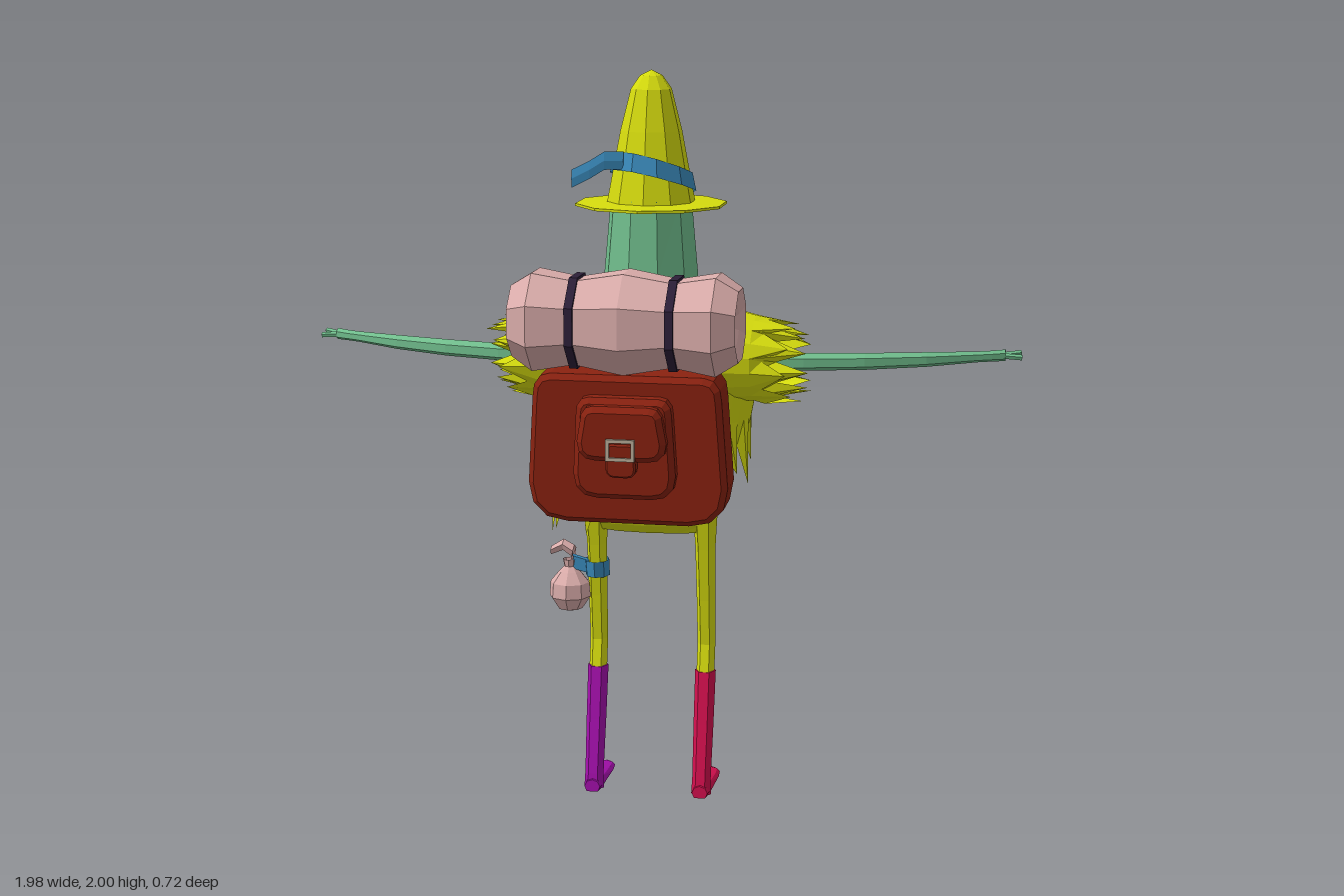
import * as THREE from 'three';

const mat = (name, color) => {
  const m = new THREE.MeshStandardMaterial({ color, flatShading: true, side: THREE.DoubleSide });
  m.name = name;
  return m;
};
const CZ = -0.13; // body axis in z

export function createModel() {
  const root = new THREE.Group();
  root.name = 'traveller';
  const yellow = mat('yellow cloth', 0xd6dc0e), green = mat('green skin', 0x70bd8c);
  const blue = mat('blue ribbon', 0x3a8abb), red = mat('rust leather', 0x8a2210);
  const pink = mat('pink canvas', 0xdbadab), dark = mat('dark strap', 0x2c1f38);
  const purple = mat('purple boot', 0xa30fab), crimson = mat('crimson boot', 0xd20f4d);
  const olive = mat('olive strap', 0xa39a1c), metal = mat('buckle metal', 0xb8ac98);

  let seed = 7;
  const rand = () => (seed = (seed * 16807) % 2147483647) / 2147483647;

  const add = (name, geo, material, x = 0, y = 0, z = 0) => {
    const m = new THREE.Mesh(geo, material);
    m.name = name;
    m.position.set(x, y, z);
    root.add(m);
    return m;
  };

  // Skin a list of closed rings; capped ends get a centre fan
  const loft = (rings, capped = true) => {
    const n = rings[0].length, pts = rings.flat().map((p) => p.clone()), idx = [];
    for (let r = 0; r < rings.length - 1; r++)
      for (let i = 0; i < n; i++) {
        const a = r * n + i, b = r * n + (i + 1) % n;
        idx.push(a, a + n, b, b, a + n, b + n);
      }
    if (capped) [0, rings.length - 1].forEach((r, end) => {
      const c = rings[r].reduce((s, p) => s.add(p), new THREE.Vector3()).divideScalar(n);
      pts.push(c);
      for (let i = 0; i < n; i++) {
        const a = r * n + i, b = r * n + (i + 1) % n;
        idx.push(pts.length - 1, end ? b : a, end ? a : b);
      }
    });
    // Turn faces outwards
    const mid = pts.reduce((s, p) => s.add(p), new THREE.Vector3()).divideScalar(pts.length);
    let vol = 0;
    for (let k = 0; k < idx.length; k += 3) {
      const [a, b, c] = [0, 1, 2].map((o) => pts[idx[k + o]].clone().sub(mid));
      vol += a.dot(b.cross(c));
    }
    if (vol < 0) idx.reverse();
    const g = new THREE.BufferGeometry().setFromPoints(pts);
    g.setIndex(idx);
    g.computeVertexNormals();
    return g;
  };
  const ring = (n, fn) => Array.from({ length: n }, (_, i) => {
    const t = (i / n) * Math.PI * 2;
    return new THREE.Vector3(...fn(Math.cos(t), Math.sin(t), i));
  });
  // Horizontal ring [y, rx, rz, cx, cz] and upright ring across x [x, ry, rz, cy, cz]
  const flat = (n, [y, rx, rz, cx = 0, cz = CZ]) => ring(n, (c, s) => [cx + rx * c, y, cz + rz * s]);
  const upright = (n, [x, ry, rz, cy, cz]) => ring(n, (c, s) => [x, cy + ry * c, cz + rz * s]);
  const lathe = (pts, n) => new THREE.LatheGeometry(pts.map((p) => new THREE.Vector2(...p)), n);

  // Head and hat
  add('head', loft([[1.36, 0.135, 0.135], [1.46, 0.128, 0.128], [1.66, 0.11, 0.112]].map((r) => flat(10, r))), green);
  add('hatCone', lathe([[0.12, 1.645], [0.1, 1.75], [0.083, 1.84], [0.055, 1.95], [0.03, 1.985], [0, 2]], 10), yellow, 0, 0, CZ);
  add('hatBrim', lathe([[0, 1.638], [0.205, 1.64], [0.205, 1.647], [0, 1.656]], 10), yellow, 0, 0, CZ);
  const bandRing = (dy) => ring(10, (c, s) => {
    const y = 1.727 + dy - 0.022 * c + 0.03 * s, r = 0.129 - 0.215 * (y - 1.65);
    return [r * c, y, CZ + r * s];
  });
  add('hatRibbon', loft([bandRing(-0.024), bandRing(0.024)], false), blue);
  add('ribbonTail', loft([[-0.06, 1.765, -0.05], [-0.11, 1.765, -0.04], [-0.15, 1.74, -0.04], [-0.2, 1.715, -0.045]]
    .map(([x, y, z]) => upright(4, [x, 0.024, 0.004, y, z]))), blue);
  add('mouthPatch', new THREE.BoxGeometry(0.085, 0.06, 0.008), pink, -0.072, 1.445, CZ - 0.103).rotation.y = 0.62;

  // Torso under the poncho
  add('belly', loft([[0.85, 0.185, 0.115], [0.95, 0.22, 0.145], [1.15, 0.24, 0.16]].map((r) => flat(12, r))), green);
  add('hips', loft([[0.745, 0.16, 0.05], [0.77, 0.18, 0.075], [0.86, 0.188, 0.118]].map((r) => flat(12, r))), yellow);

  // Poncho with ragged hem, longer on the -x side
  const N = 44;
  const poncho = [[1.43, 0.125, 0.13], [1.385, 0.22, 0.165], [1.31, 0.29, 0.2], [1.2, 0.3, 0.205], [1.07, 0.275, 0.195]];
  const hem = ring(N, (c, s, i) => {
    const tip = i % 2, valley = 0.94 + 0.07 * c - 0.03 * s;
    const y = valley - tip * (0.05 + 0.07 * rand() + (c < 0 ? -0.03 * c : 0));
    return [(0.255 + 0.02 * tip) * c, y, CZ + (0.178 + 0.012 * tip) * s];
  });
  add('poncho', loft([...poncho.map((r) => flat(N, r)), hem], false), yellow);

  // Pack straps running over the shoulders, hugging the poncho
  const strap = (name, side, material) => {
    const path = [];
    for (const sz of [1, -1]) {
      const half = poncho.slice(1, 5).map(([y, rx, rz]) =>
        [y + 0.006, CZ + sz * (rz * Math.sqrt(1 - (0.195 / rx) ** 2) + 0.008)]);
      path.push(...(sz > 0 ? half.reverse() : half));
    }
    path.splice(4, 0, [1.398, CZ]);
    const rows = path.map(([y, z]) => [-0.018, 0.018].map((d) => new THREE.Vector3(side * 0.195 + d, y - d * side * 0.35, z)));
    const g = new THREE.BufferGeometry().setFromPoints(rows.flat());
    const idx = [];
    for (let i = 0; i < rows.length - 1; i++) idx.push(2 * i, 2 * i + 1, 2 * i + 2, 2 * i + 1, 2 * i + 3, 2 * i + 2);
    g.setIndex(idx);
    g.computeVertexNormals();
    add(name, g, material);
  };
  strap('rightStrap', -1, green);
  strap('leftStrap', 1, olive);

  for (const s of [1, -1]) {
    const side = s > 0 ? 'left' : 'right';
    // Ragged sleeve in two layers
    const sleeve = (x1, r1, len) => loft([
      upright(18, [s * 0.2, 0.13, 0.165, 1.24, -0.125]),
      upright(18, [s * 0.29, 0.115, 0.14, 1.235, -0.12]),
      ring(18, (c, d, i) => [s * (x1 + (i % 2) * (len + 0.04 * rand())), 1.225 + (r1 - (i % 2) * 0.01) * c, -0.12 + r1 * d]),
    ], false);
    add(side + 'SleeveOuter', sleeve(0.32, 0.115, 0.06), yellow);
    add(side + 'SleeveInner', sleeve(0.355, 0.085, 0.06), yellow);

    // Arm, hand and three fingers
    add(side + 'Arm', loft([[0.25, 0.026, -0.1], [0.42, 0.024, -0.122], [0.58, 0.023, -0.16], [0.74, 0.02, -0.22],
      [0.87, 0.015, -0.285], [0.91, 0.015, -0.305], [0.945, 0.016, -0.325]]
      .map(([x, r, z]) => upright(6, [s * x, r, r * 1.15, 1.227, z]))), green);
    for (const [x, z, y] of [[0.99, -0.322, 1.222], [0.985, -0.352, 1.23], [0.96, -0.365, 1.222]]) {
      const from = new THREE.Vector3(s * 0.925, 1.227, -0.315), to = new THREE.Vector3(s * x, y, z);
      add(side + 'Finger', new THREE.TubeGeometry(new THREE.LineCurve3(from, to), 1, 0.008, 5), green);
    }

    // Leg, boot and foot
    const x = s * 0.152, boot = s > 0 ? crimson : purple;
    const ringAt = ([y, r, z, k = 1]) => flat(6, [y, r, r * k, x, z]);
    add(side + 'Leg', loft([[0.8, 0.034, -0.125, 1.7], [0.7, 0.028, -0.13, 1.5], [0.55, 0.026, -0.145, 1.3],
      [0.42, 0.025, -0.157, 1.2], [0.345, 0.025, -0.142, 1.2]].map(ringAt)), yellow);
    add(side + 'Boot', loft([[0.345, 0.029, -0.142, 1.15], [0.2, 0.028, -0.113], [0.05, 0.026, -0.083], [0.005, 0.028, -0.078]].map(ringAt)), boot);
    add(side + 'Foot', loft([[-0.05, 0.022, 0.02], [-0.1, 0.028, 0.022], [-0.2, 0.03, 0.014], [-0.245, 0.026, 0.011], [-0.26, 0.012, 0.008]]
      .map(([z, rx, ry]) => ring(8, (c, d) => [x + rx * c, Math.max(0, 0.015 + ry * d), z]))), boot);
  }

  // Pouch tied to the right leg
  add('pouchBand', loft([[0.605, 0.034, 0.042, -0.152, -0.14], [0.65, 0.035, 0.044, -0.154, -0.137]].map((r) => flat(8, r)), false), blue);
  add('pouchTie', new THREE.BoxGeometry(0.06, 0.035, 0.02), blue, -0.195, 0.637, -0.125).rotation.z = -0.25;
  add('pouch', lathe([[0, 0.5], [0.035, 0.51], [0.058, 0.545], [0.055, 0.585], [0.03, 0.615], [0.016, 0.63], [0.02, 0.65]], 8), pink, -0.228, 0, -0.125);
  add('pouchFlap', loft([[-0.222, 0.645, 0.015], [-0.215, 0.672, 0.018], [-0.245, 0.69, 0.016], [-0.28, 0.672, 0.012]]
    .map(([px, y, r]) => upright(5, [px, r, r * 1.4, y, -0.125]))), pink);

  // Backpack: rounded slabs stacked outwards
  const slab = (name, w, y0, y1, z0, z1, rb, rt, bevel = 0.015) => {
    const h = w / 2 - bevel, b = y0 + bevel, t = y1 - bevel;
    const p = new THREE.Shape();
    p.moveTo(-h + rb, b);
    p.lineTo(h - rb, b);
    p.quadraticCurveTo(h, b, h, b + rb);
    p.lineTo(h - rt * 0.3, t - rt);
    p.quadraticCurveTo(h - rt * 0.3, t, h - rt, t);
    p.lineTo(-h + rt, t);
    p.quadraticCurveTo(-h + rt * 0.3, t, -h + rt * 0.3, t - rt);
    p.lineTo(-h, b + rb);
    p.quadraticCurveTo(-h, b, -h + rb, b);
    const g = new THREE.ExtrudeGeometry(p, {
      depth: z1 - z0 - 2 * bevel, bevelThickness: bevel, bevelSize: bevel, bevelSegments: 1, curveSegments: 3,
    });
    g.translate(0, -1.05, z0 + bevel);
    add(name, g, red, 0, 1.05, 0).rotation.x = 0.055;
  };
  slab('packBody', 0.53, 0.85, 1.25, 0.09, 0.225, 0.09, 0.05);
  slab('packPocket', 0.27, 0.93, 1.2, 0.21, 0.268, 0.05, 0.03);
  slab('pocketFlap', 0.235, 1.04, 1.185, 0.25, 0.302, 0.035, 0.03);
  slab('flapTab', 0.08, 1.0, 1.09, 0.27, 0.307, 0.02, 0.012, 0.005);
  for (const d of [-1, 1]) {
    add('buckleBar', new THREE.BoxGeometry(0.075, 0.009, 0.009), metal, 0, 1.058 + d * 0.024, 0.309);
    add('buckleSide', new THREE.BoxGeometry(0.009, 0.048, 0.009), metal, d * 0.033, 1.058, 0.309);
  }

  // Bedroll with hollowed ends and two straps
  const roll = [[-0.25, 0], [-0.285, 0.055], [-0.297, 0.1], [-0.24, 0.138], [-0.13, 0.118], [0, 0.142],
    [0.13, 0.118], [0.24, 0.138], [0.297, 0.1], [0.285, 0.055], [0.25, 0]];
  const turn = (g) => g.rotateY(Math.PI / 8).rotateZ(-Math.PI / 2);
  add('bedroll', turn(lathe(roll.map(([x, r]) => [r, x]), 8)), pink, 0, 1.378, 0.215);
  for (const x of [-0.13, 0.13])
    add('bedrollStrap', turn(lathe([[0.114, -0.011], [0.128, -0.011], [0.128, 0.011], [0.114, 0.011]], 8)), dark, x, 1.378, 0.215);

  return root;
}
